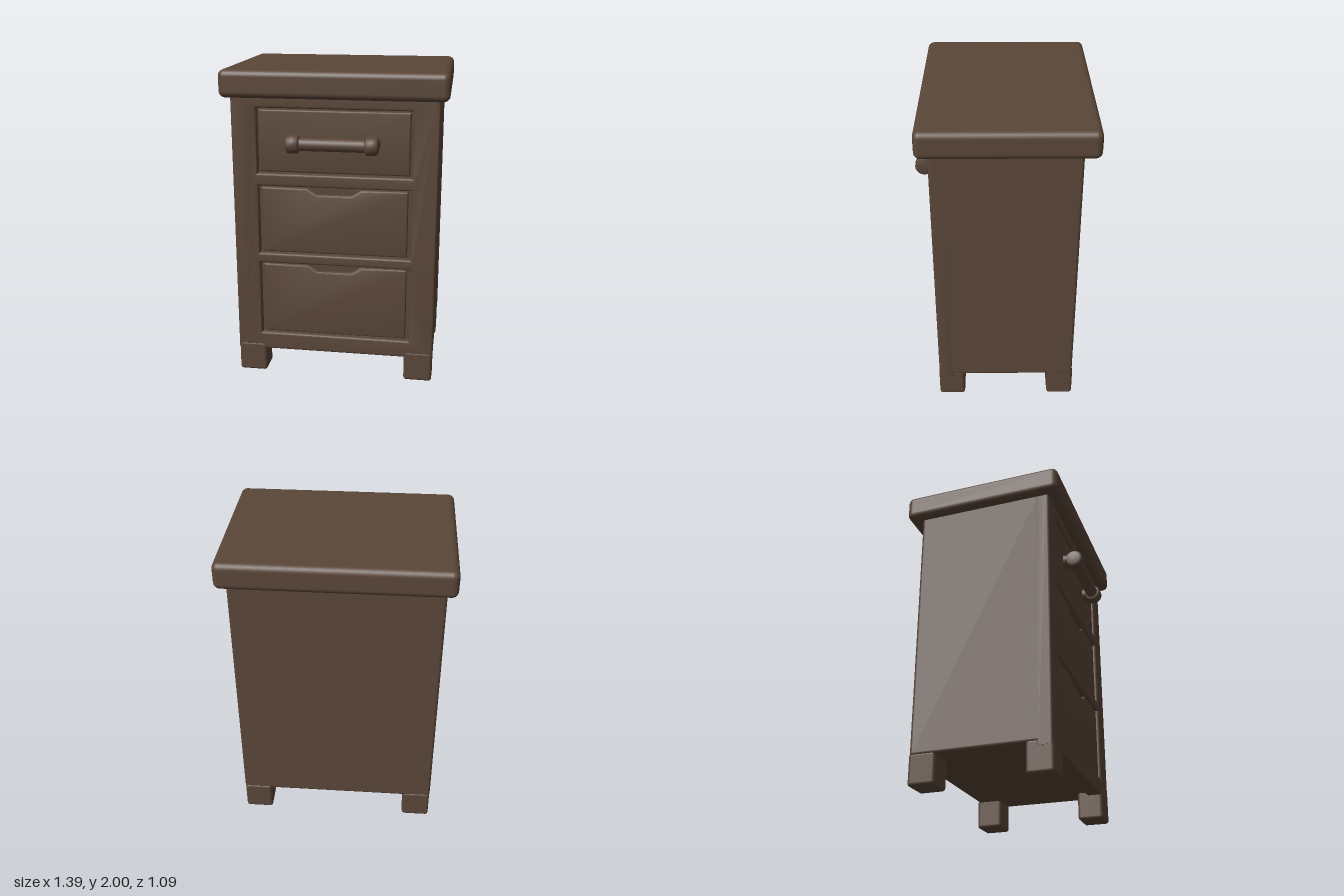
import * as THREE from 'three';
import { RoundedBoxGeometry } from 'three/addons/geometries/RoundedBoxGeometry.js';
import { toCreasedNormals } from 'three/addons/utils/BufferGeometryUtils.js';

export function createModel() {
  const model = new THREE.Group();
  model.name = 'nightstand';
  const wood = new THREE.MeshStandardMaterial({ color: 0x5a4638 });
  wood.name = 'dark brown wood';

  const add = (geometry, name, parent = model) => {
    const mesh = new THREE.Mesh(geometry, wood);
    mesh.name = name;
    parent.add(mesh);
    return mesh;
  };

  // Softly rounded block given by its limits on each axis
  const block = (name, [x0, x1], [y0, y1], [z0, z1], radius) => {
    const mesh = add(new RoundedBoxGeometry(x1 - x0, y1 - y0, z1 - z0, 4, radius), name);
    mesh.position.set((x0 + x1) / 2, (y0 + y1) / 2, (z0 + z1) / 2);
    return mesh;
  };

  // Front-facing panel with rounded edges, filling z0 to z1
  const panel = (name, shape, z0, z1, bevel) => {
    const geometry = new THREE.ExtrudeGeometry(shape, {
      depth: z1 - z0 - 2 * bevel, bevelThickness: bevel, bevelSize: bevel,
      bevelOffset: -bevel, bevelSegments: 3,
    });
    const mesh = add(toCreasedNormals(geometry, 0.7), name);
    mesh.position.z = z0 + bevel;
    return mesh;
  };

  const outline = (points, Type = THREE.Shape) => new Type(points.map(([x, y]) => new THREE.Vector2(x, y)));
  const rect = (x, y0, y1) => [[-x, y0], [x, y0], [x, y1], [-x, y1]];

  // Table top and carcass
  block('tableTop', [-0.695, 0.695], [1.83, 2], [-0.543, 0.503], 0.04);
  block('carcass', [-0.64, 0.64], [0.18, 1.86], [-0.45, 0.385], 0.02);

  // Face frame with three drawer openings
  const openings = [[1.355, 1.765], [0.83, 1.275], [0.275, 0.765]];
  const frame = outline(rect(0.64, 0.16, 1.86));
  for (const [y0, y1] of openings) {
    frame.holes.push(outline(rect(0.48, y0, y1).reverse(), THREE.Path));
  }
  panel('faceFrame', frame, 0.33, 0.43, 0.015);

  // Drawer fronts; the lower two have a shallow finger scoop
  openings.forEach(([y0, y1], i) => {
    const bottom = y0 + 0.01, top = y1 - 0.01, x = i === 0 ? 0.468 : 0.46;
    const points = rect(x, bottom, top);
    if (i > 0) {
      points.splice(3, 0, [0.17, top], [0.11, top - 0.04], [-0.11, top - 0.04], [-0.17, top]);
    }
    panel(['topDrawer', 'middleDrawer', 'bottomDrawer'][i], outline(points), 0.36, 0.417, 0.012);
  });

  // Bar handle with knobbed ends standing off the top drawer
  const handle = new THREE.Group();
  handle.name = 'handle';
  handle.position.set(0, 1.56, 0.485);
  model.add(handle);
  add(new THREE.CylinderGeometry(0.04, 0.04, 0.48, 24), 'handleBar', handle).rotation.z = Math.PI / 2;
  const knobProfile = [[0, -0.042], [0.042, -0.042], [0.056, -0.03], [0.058, 0], [0.056, 0.03], [0.042, 0.042], [0, 0.042]]
    .map(([r, y]) => new THREE.Vector2(r, y));
  for (const side of [-1, 1]) {
    const knob = add(new THREE.LatheGeometry(knobProfile, 24), 'handleKnob', handle);
    knob.position.x = side * 0.24;
    knob.rotation.z = Math.PI / 2;
    const post = add(new THREE.CylinderGeometry(0.036, 0.05, 0.09, 20), 'handlePost', handle);
    post.position.set(side * 0.24, 0, -0.04);
    post.rotation.x = Math.PI / 2;
  }

  // Four block feet
  for (const [x0, x1] of [[-0.637, -0.455], [0.455, 0.637]]) {
    block('frontFoot', [x0, x1], [0, 0.2], [0.265, 0.433], 0.02);
    block('backFoot', [x0, x1], [0, 0.2], [-0.455, -0.285], 0.02);
  }
  return model;
}
